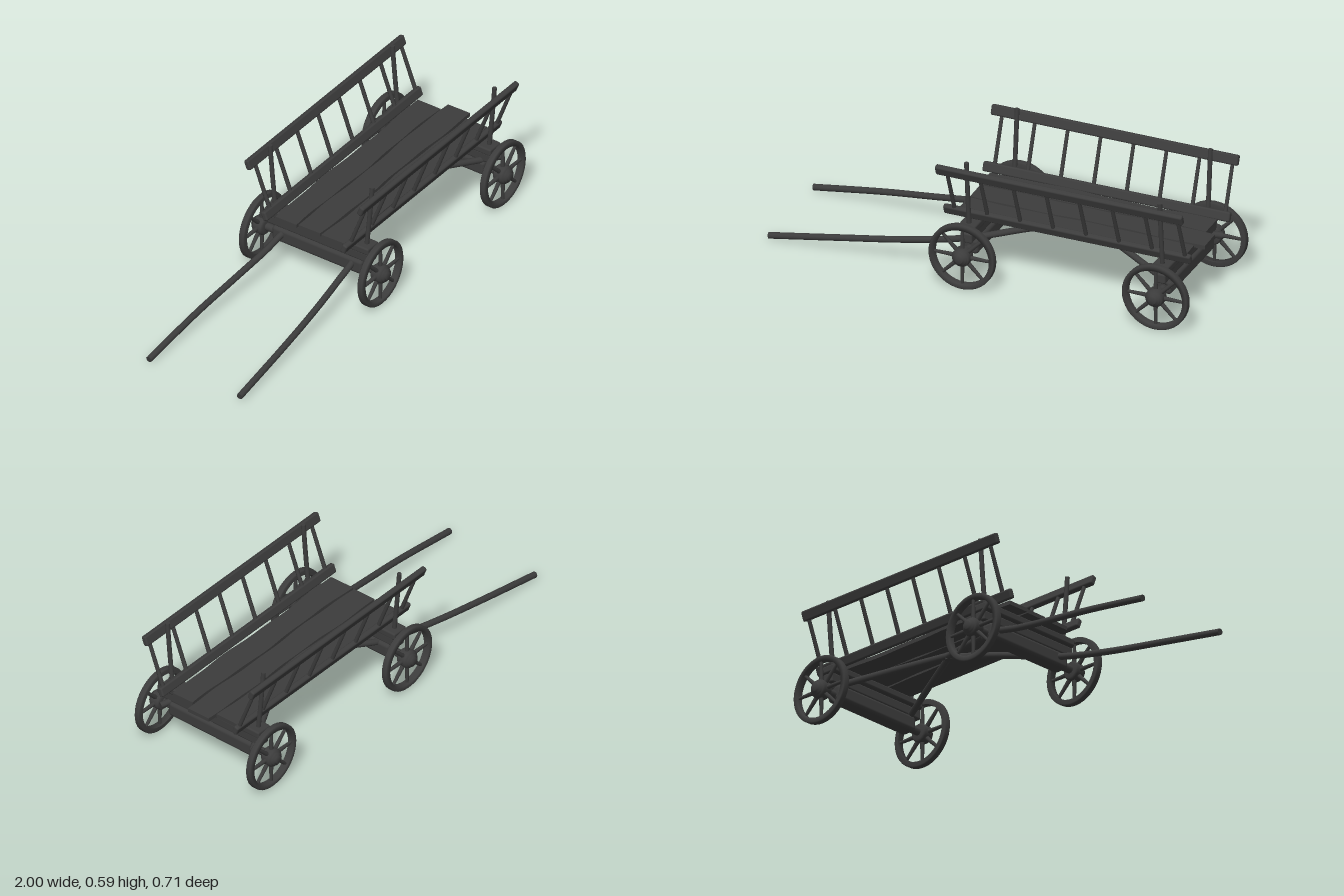
import * as THREE from 'three';
import { RoundedBoxGeometry } from 'three/addons/geometries/RoundedBoxGeometry.js';

const wood = new THREE.MeshStandardMaterial({ color: 0x3c3c3c });
const AXLES = [-0.058, 0.846];
const WHEEL_Y = 0.155;

function add(parent, name, geometry, x = 0, y = 0, z = 0) {
  const mesh = new THREE.Mesh(geometry, wood);
  mesh.name = name;
  mesh.position.set(x, y, z);
  parent.add(mesh);
  return mesh;
}

const beam = (w, h, d, r = 0.008) => new RoundedBoxGeometry(w, h, d, 2, r);

// Round pole through a list of points, closed at both ends
function addPole(parent, name, points, radius) {
  const pts = points.map(p => new THREE.Vector3(...p));
  const curve = new THREE.CatmullRomCurve3(pts);
  const pole = new THREE.Group();
  pole.name = name;
  add(pole, name + 'Shaft', new THREE.TubeGeometry(curve, pts.length * 6, radius, 10));
  for (const t of [0, 1]) {
    const p = curve.getPointAt(t);
    const cap = add(pole, name + 'End', new THREE.CircleGeometry(radius, 10), p.x, p.y, p.z);
    const out = curve.getTangentAt(t).multiplyScalar(t ? 1 : -1);
    cap.quaternion.setFromUnitVectors(new THREE.Vector3(0, 0, 1), out);
  }
  parent.add(pole);
}

// Spoked wheel with its axle along local z, outer side towards +z
function createWheel() {
  const wheel = new THREE.Group();
  wheel.name = 'wheel';
  const lathe = (profile, segments) => new THREE.LatheGeometry(
    profile.map(p => new THREE.Vector2(...p)), segments).rotateX(Math.PI / 2);
  const rim = [[0.13, -0.015], [0.149, -0.015], [0.154, -0.011], [0.154, 0.011],
    [0.149, 0.015], [0.13, 0.015], [0.13, -0.015]];
  add(wheel, 'rim', lathe(rim, 40));
  const hub = [[0, -0.028], [0.034, -0.028], [0.042, -0.02], [0.042, 0.018], [0.037, 0.026],
    [0.03, 0.027], [0.03, 0.034], [0.018, 0.036], [0.018, 0.043], [0, 0.043]];
  add(wheel, 'hub', lathe(hub, 20));
  for (let i = 0; i < 8; i++) {
    const spoke = new THREE.CylinderGeometry(0.007, 0.01, 0.1, 8).translate(0, 0.085, 0);
    add(wheel, 'spoke', spoke).rotation.z = i * Math.PI / 4;
  }
  return wheel;
}

// Floor board with slightly uneven edges
function plankGeometry(length, width, seed) {
  const g = new RoundedBoxGeometry(1, 0.019, width, 2, 0.006);
  const box = new THREE.BoxGeometry(length, 0.018, width, 24, 1, 2);
  g.dispose();
  const p = box.attributes.position;
  for (let i = 0; i < p.count; i++) {
    const x = p.getX(i), z = p.getZ(i);
    const side = Math.sign(z);
    const wave = 0.004 * Math.sin(x * 9 + seed + side) + 0.002 * Math.sin(x * 23 + seed * 2);
    p.setZ(i, z + wave);
    p.setX(i, x + 0.05 * z * Math.sin(seed * 3));
  }
  box.computeVertexNormals();
  return box;
}

export function createModel() {
  const cart = new THREE.Group();
  cart.name = 'ladderWagon';

  // Running gear: axle, axle block and two bolsters over each wheel pair
  for (const x of AXLES) {
    const gear = new THREE.Group();
    gear.name = 'axleAssembly';
    gear.position.x = x;
    cart.add(gear);
    add(gear, 'axle', new THREE.CylinderGeometry(0.018, 0.018, 0.62, 14).rotateX(Math.PI / 2), 0, WHEEL_Y + 0.002, 0);
    add(gear, 'axleBlock', beam(0.075, 0.07, 0.472, 0.016), 0, 0.165, 0);
    add(gear, 'lowerBolster', beam(0.055, 0.046, 0.548), 0, 0.223, 0);
    add(gear, 'upperBolster', beam(0.08, 0.034, 0.548), 0, 0.266, 0);
    for (const s of [1, -1]) {
      const wheel = createWheel();
      wheel.position.set(0, WHEEL_Y, s * 0.311);
      if (s < 0) wheel.rotation.y = Math.PI;
      gear.add(wheel);
    }
  }

  // Floor boards: length, x centre, z centre
  [[1.06, 0.385, -0.125], [1.1, 0.412, -0.003], [1.06, 0.39, 0.122]].forEach(([len, x, z], i) =>
    add(cart, 'floorPlank', plankGeometry(len, 0.114, i * 2 + 1), x, 0.292, z));

  for (const s of [1, -1]) {
    // Ladder side leaning outwards
    const side = new THREE.Group();
    side.name = s > 0 ? 'leftLadderSide' : 'rightLadderSide';
    side.position.set(0.389, 0.311, s * 0.208);
    side.rotation.x = s * Math.atan2(0.088, 0.232);
    cart.add(side);
    add(side, 'lowerRail', beam(1.155, 0.044, 0.026));
    add(side, 'upperRail', beam(1.155, 0.047, 0.026), 0, 0.248, 0);
    for (let i = 0; i < 8; i++) {
      add(side, 'rung', new THREE.CylinderGeometry(0.0085, 0.0095, 0.23, 8), (i - 3.5) * 0.154 + 0.012, 0.124, 0);
    }

    // Stakes standing in the bolsters
    for (const x of AXLES) {
      addPole(cart, 'stake', [[x, 0.24, s * 0.236], [x, 0.42, s * 0.254], [x, 0.587, s * 0.268]], 0.0105);
    }

    // Pulling shaft running back under the bed to the centre
    addPole(cart, 'pullingShaft', [[-0.995, 0.017, s * 0.238], [-0.65, 0.074, s * 0.226],
      [-0.4, 0.112, s * 0.209], [-0.2, 0.148, s * 0.191], [-0.06, 0.182, s * 0.178],
      [0.17, 0.232, s * 0.088], [0.4, 0.269, 0]], 0.0145);

    // Brace from the centre to the rear axle
    addPole(cart, 'rearBrace', [[0.38, 0.272, 0], [0.65, 0.231, s * 0.13], [0.908, 0.187, s * 0.255]], 0.0145);
  }

  // Pin joining the shafts and braces
  add(cart, 'couplingPin', new THREE.CylinderGeometry(0.016, 0.016, 0.04, 10), 0.39, 0.272, 0);
  return cart;
}
